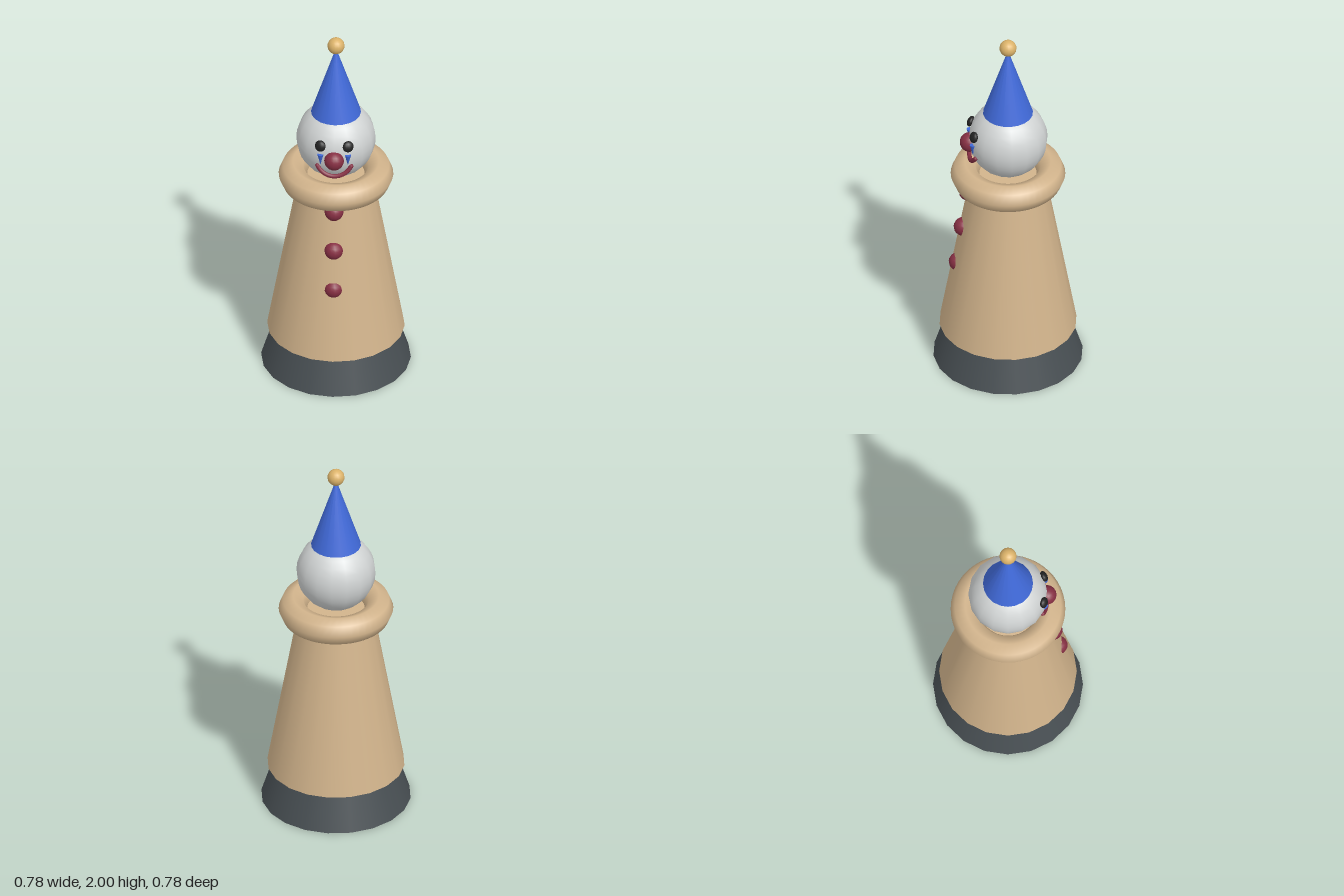
import * as THREE from 'three';

const mat = (name, color) => {
  const m = new THREE.MeshStandardMaterial({ color });
  m.name = name;
  return m;
};

export function createModel() {
  const group = new THREE.Group();
  const tan = mat('tan', 0xd2b48c);
  const slate = mat('slate', 0x484f53);
  const white = mat('white', 0xd0d3d3);
  const blue = mat('blue', 0x4069d8);
  const red = mat('red', 0x862f43);
  const black = mat('black', 0x222222);
  const gold = mat('gold', 0xdcb36a);

  const add = (name, geometry, material, x, y, z) => {
    const mesh = new THREE.Mesh(geometry, material);
    mesh.name = name;
    mesh.position.set(x, y, z);
    group.add(mesh);
    return mesh;
  };

  // Base and tapering robe
  add('base', new THREE.CylinderGeometry(0.328, 0.392, 0.2, 20), slate, 0, 0.1, 0);
  add('robe', new THREE.CylinderGeometry(0.193, 0.36, 0.95, 20), tan, 0, 0.675, 0);

  // Ring collar
  const collar = add('collar', new THREE.TorusGeometry(0.225, 0.075, 8, 48), tan, 0, 1.15, 0);
  collar.rotation.x = Math.PI / 2;

  // Head, hat and pompom
  const headY = 1.376, headR = 0.208;
  add('head', new THREE.SphereGeometry(headR, 16, 16), white, 0, headY, 0);
  add('hat', new THREE.ConeGeometry(0.131, 0.4, 20), blue, 0, 1.74, 0);
  add('pompom', new THREE.SphereGeometry(0.045, 16, 12), gold, 0, 1.955, 0);

  // Buttons down the front
  [[1.048, 0.209], [0.822, 0.236], [0.598, 0.262]].forEach(([y, z], i) =>
    add('button' + (i + 1), new THREE.SphereGeometry(0.05, 14, 10), red, 0, y, z));

  // Eyes and tear marks, mirrored on the head surface
  for (const side of [1, -1]) {
    const label = side > 0 ? 'left' : 'right';
    const eye = add(label + 'Eye', new THREE.SphereGeometry(0.03, 12, 10), black, side * 0.073, 1.446, 0.188);
    eye.scale.z = 0.6;
    eye.lookAt(eye.position.clone().multiplyScalar(2).setY(2 * eye.position.y - headY));

    const tear = add(label + 'Tear', new THREE.ConeGeometry(0.017, 0.064, 8), blue, side * 0.072, 1.365, 0.193);
    tear.rotation.x = Math.PI;
  }

  // Nose
  add('nose', new THREE.SphereGeometry(0.052, 16, 12), red, 0, 1.365, 0.202);

  // Smile: an arc leaning forward at the bottom
  const arc = [];
  for (let i = 0; i <= 12; i++) {
    const a = Math.PI * (1.155 + 0.69 * i / 12);
    const y = 1.366 + 0.1 * Math.sin(a);
    arc.push(new THREE.Vector3(0.1 * Math.cos(a), y, 0.181 + (1.32 - y) * 0.38));
  }
  const mouthPath = new THREE.CatmullRomCurve3(arc);
  add('mouth', new THREE.TubeGeometry(mouthPath, 24, 0.012, 8, false), red, 0, 0, 0);
  arc.filter((p, i) => i === 0 || i === 12).forEach((p) =>
    add('mouthCorner', new THREE.SphereGeometry(0.012, 8, 6), red, p.x, p.y, p.z));

  return group;
}
